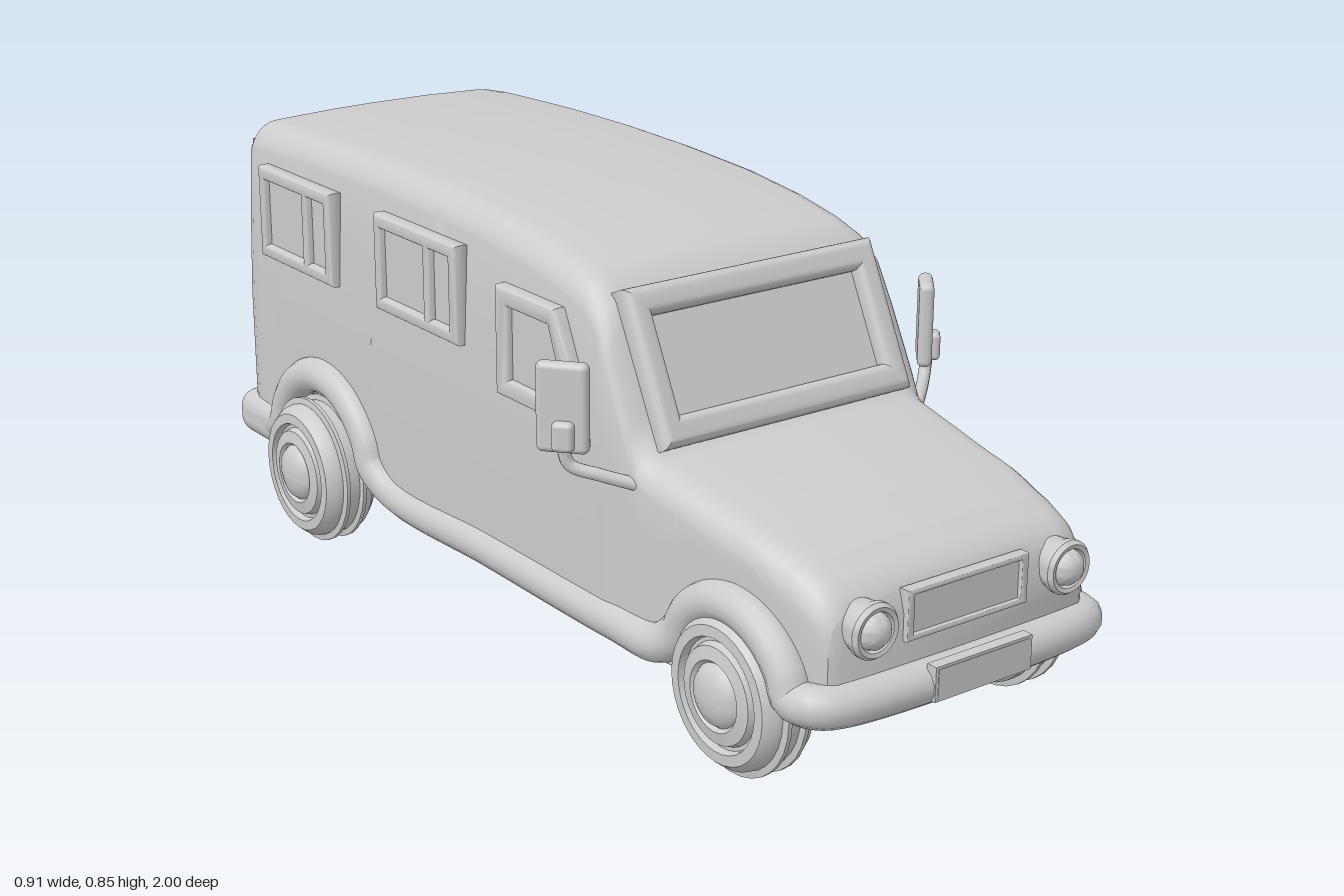
import * as THREE from 'three';
import { toCreasedNormals } from 'three/addons/utils/BufferGeometryUtils.js';
import { RoundedBoxGeometry } from 'three/addons/geometries/RoundedBoxGeometry.js';

const grey = new THREE.MeshStandardMaterial({ color: 0xcccccc, side: THREE.DoubleSide });
const FRONT = { z: 0.725, y: 0.15, r: 0.16 };   // front wheel arch
const REAR = { z: -0.61, y: 0.155, r: 0.192 };  // rear wheel arch

function add(parent, name, geometry, x = 0, y = 0, z = 0) {
  const mesh = new THREE.Mesh(geometry, grey);
  mesh.name = name;
  mesh.position.set(x, y, z);
  parent.add(mesh);
  return mesh;
}

// Linear interpolation through [position, value] keys sorted by position
function lerpKeys(keys, p) {
  if (p <= keys[0][0]) return keys[0][1];
  for (let i = 1; i < keys.length; i++) {
    const [a, va] = keys[i - 1], [b, vb] = keys[i];
    if (p <= b) return va + (vb - va) * (p - a) / (b - a);
  }
  return keys[keys.length - 1][1];
}

const TOP = [[-0.957, 0.795], [-0.95, 0.815], [-0.93, 0.828], [-0.85, 0.835], [-0.6, 0.844], [-0.4, 0.846],
  [-0.2, 0.842], [0, 0.832], [0.15, 0.815], [0.25, 0.796], [0.31, 0.777], [0.345, 0.748], [0.467, 0.508],
  [0.49, 0.495], [0.6, 0.475], [0.75, 0.447], [0.85, 0.42], [0.9, 0.397], [0.933, 0.368], [0.945, 0.33]];
const WIDTH = [[-0.957, 0.31], [-0.945, 0.327], [-0.92, 0.335], [-0.8, 0.34], [0.38, 0.34], [0.5, 0.33],
  [0.9, 0.3], [0.935, 0.29], [0.945, 0.275]];

function bottomAt(z) {
  let y = z > 0.88 ? 0.17 : 0.125;
  for (const a of [FRONT, REAR]) {
    const d = Math.abs(z - a.z);
    if (d < a.r) y = Math.max(y, a.y + Math.sqrt(a.r * a.r - d * d));
  }
  return y;
}

// Half cross-section from bottom centre to top centre, mirrored to a full ring
function bodySection(z) {
  const t = lerpKeys(TOP, z), b = bottomAt(z), w = lerpKeys(WIDTH, z);
  const r = Math.min(0.06, (t - b) * 0.4), half = [[0, b], [w - 0.02, b], [w, b + 0.015]];
  for (let k = 1; k <= 4; k++) half.push([w, b + 0.015 + (t - r - b - 0.015) * k / 4]);
  for (let k = 1; k <= 6; k++) {
    const a = k / 6 * Math.PI / 2;
    half.push([w - r + r * Math.cos(a), t - r + r * Math.sin(a) - 0.006]);
  }
  half.push([w * 0.4, t - 0.001], [0, t]);
  const right = half.map(([x, y]) => [x - 0.018 * Math.max(0, (y - 0.5) / 0.33), y]);
  const left = right.slice(1, -1).reverse().map(([x, y]) => [-x, y]);
  return [...right, ...left].map(([x, y]) => [x, y, z]);
}

function bodyGeometry() {
  const zs = [...TOP, ...WIDTH].map(k => k[0]);
  for (let i = 1; i < 60; i++) zs.push(-0.957 + 1.902 * i / 60);
  for (const a of [FRONT, REAR]) {
    for (let i = 0; i <= 24; i++) zs.push(a.z - a.r * Math.cos(i / 24 * Math.PI));
    zs.push(a.z - a.r - 0.001, a.z + a.r + 0.001);
  }
  zs.sort((a, b) => a - b);
  const rings = zs.filter((z, i) => i === 0 || z - zs[i - 1] > 0.0005).map(bodySection);
  // Close both ends on a centre point
  const cap = ring => {
    const cy = (ring[0][1] + Math.max(...ring.map(p => p[1]))) / 2;
    return ring.map(p => [0, cy, p[2]]);
  };
  rings.unshift(cap(rings[0]));
  rings.push(cap(rings[rings.length - 1]));
  const n = rings[0].length, index = [];
  for (let i = 0; i < rings.length - 1; i++) {
    for (let j = 0; j < n; j++) {
      const k = (j + 1) % n, a = i * n + j, b = i * n + k, c = b + n, d = a + n;
      index.push(a, b, c, a, c, d);
    }
  }
  const g = new THREE.BufferGeometry();
  g.setAttribute('position', new THREE.Float32BufferAttribute(rings.flat(2), 3));
  g.setIndex(index);
  return toCreasedNormals(g, 0.65);
}

// Rounded bar running round the bumpers, fenders and sills
function trimGeometry() {
  const side = [[0.26, 0.2, 0.947], [0.305, 0.2, 0.925]];
  const arch = (a, x, from, to) => {
    for (let i = 0; i <= 10; i++) {
      const t = THREE.MathUtils.degToRad(from + (to - from) * i / 10);
      side.push([x, a.y + a.r * Math.sin(t), a.z + a.r * Math.cos(t)]);
    }
  };
  arch(FRONT, 0.313, 18, 158);
  side.push([0.322, 0.172, 0.53], [0.325, 0.167, 0.4], [0.325, 0.167, 0], [0.325, 0.167, -0.36]);
  arch(REAR, 0.335, 16, 166);
  side.push([0.318, 0.17, -0.86], [0.3, 0.17, -0.93]);
  const pts = [...side, ...side.slice().reverse().map(([x, y, z]) => [-x, y, z])];
  const curve = new THREE.CatmullRomCurve3(pts.map(p => new THREE.Vector3(...p)), true);
  return new THREE.TubeGeometry(curve, 420, 0.038, 14, true);
}

const rect = (x0, x1, y0, y1) => [[x0, y0], [x1, y0], [x1, y1], [x0, y1]];
const toPath = pts => pts.map(p => new THREE.Vector2(...p));

// Bevelled frame with openings and a pane behind them
function windowFrame(name, outer, holes, depth, bevel, paneZ) {
  const group = new THREE.Group();
  group.name = name;
  const shape = new THREE.Shape(toPath(outer));
  holes.forEach(h => shape.holes.push(new THREE.Path(toPath(h))));
  const frame = new THREE.ExtrudeGeometry(shape, { depth, bevelEnabled: true, bevelSize: bevel, bevelThickness: bevel, bevelOffset: -bevel, bevelSegments: 4 });
  add(group, 'frame', toCreasedNormals(frame, 0.6));
  add(group, 'pane', new THREE.ShapeGeometry(new THREE.Shape(toPath(outer))), 0, 0, paneZ).scale.set(1, 1, 1);
  return group;
}

function wheel(name, side, x, a) {
  const g = new THREE.Group();
  g.name = name;
  // Tyre with thin tread ribs, rim and domed hub: [radius, distance outwards]
  const profile = [[0, 0.02], [0.09, 0.02], [0.1, 0], [0.122, 0], [0.14, 0.018], [0.14, 0.036], [0.153, 0.038], [0.153, 0.046],
    [0.141, 0.048], [0.141, 0.074], [0.153, 0.076], [0.153, 0.084], [0.14, 0.086], [0.138, 0.1], [0.124, 0.117], [0.104, 0.118],
    [0.1, 0.104], [0.093, 0.104], [0.088, 0.118], [0.064, 0.123], [0.058, 0.116], [0.05, 0.127], [0.03, 0.135], [0, 0.138]];
  const tyre = add(g, 'tyreAndHub', toCreasedNormals(new THREE.LatheGeometry(toPath(profile), 32), 0.6));
  tyre.rotation.z = -side * Math.PI / 2;
  g.position.set(side * x, 0.154, a.z);
  return g;
}

function mirror(side) {
  const g = new THREE.Group();
  g.name = side > 0 ? 'leftMirror' : 'rightMirror';
  const arm = [[0.325, 0.445, 0.46], [0.375, 0.462, 0.42], [0.415, 0.48, 0.385], [0.425, 0.53, 0.38]];
  const curve = new THREE.CatmullRomCurve3(arm.map(([x, y, z]) => new THREE.Vector3(side * x, y, z)));
  add(g, 'mirrorArm', new THREE.TubeGeometry(curve, 20, 0.012, 10));
  add(g, 'mirrorHousing', new RoundedBoxGeometry(0.095, 0.165, 0.028, 3, 0.012), side * 0.42, 0.583, 0.375).rotation.y = side * 0.87;
  add(g, 'mirrorBracket', new RoundedBoxGeometry(0.04, 0.055, 0.04, 3, 0.01), side * 0.425, 0.535, 0.385).rotation.y = side * 0.87;
  return g;
}

export function createModel() {
  const model = new THREE.Group();
  model.name = 'van';
  add(model, 'body', bodyGeometry());
  add(model, 'fenderAndSillTrim', trimGeometry());
  add(model, 'rearBumper', new RoundedBoxGeometry(0.71, 0.1, 0.19, 5, 0.04), 0, 0.17, -0.905);

  // Windscreen and rear window
  const screen = windowFrame('windscreen', rect(-0.285, 0.285, -0.145, 0.145), [rect(-0.235, 0.235, -0.09, 0.09)], 0.03, 0.018, 0.02);
  screen.position.set(0, 0.62, 0.391);
  screen.rotation.x = -0.46;
  const back = windowFrame('rearWindow', rect(-0.295, 0.295, -0.125, 0.125), [rect(-0.255, 0.255, -0.085, 0.085)], 0.015, 0.012, 0.009);
  back.position.set(0, 0.655, -0.95);
  back.rotation.y = Math.PI;
  model.add(screen, back);

  // Side windows, in (z, y)
  const sideWindows = [
    ['doorWindow', [[0.06, 0.505], [0.335, 0.505], [0.325, 0.58], [0.25, 0.715], [0.06, 0.715]],
      [[[0.1, 0.54], [0.285, 0.54], [0.23, 0.68], [0.1, 0.68]]]],
    ['middleWindow', rect(-0.37, -0.07, 0.56, 0.755), [rect(-0.165, -0.1, 0.588, 0.727), rect(-0.345, -0.19, 0.588, 0.727)]],
    ['backWindow', rect(-0.84, -0.54, 0.56, 0.755), [rect(-0.635, -0.57, 0.588, 0.727), rect(-0.815, -0.66, 0.588, 0.727)]],
  ];
  for (const side of [1, -1]) {
    const flip = pts => pts.map(([z, y]) => [-side * z, y]);
    for (const [name, outer, holes] of sideWindows) {
      const w = windowFrame(name, flip(outer), holes.map(flip), 0.016, 0.009, 0.011);
      w.position.x = side * 0.33;
      w.rotation.y = side * Math.PI / 2;
      model.add(w);
    }
    model.add(mirror(side), wheel('frontWheel', side, 0.237, FRONT), wheel('rearWheel', side, 0.3, REAR));

    // Headlamp with raised rim and domed lens
    const lamp = [[0.04, -0.05], [0.046, 0.01], [0.05, 0.02], [0.05, 0.03], [0.044, 0.038], [0.036, 0.036], [0.033, 0.028],
      [0.03, 0.038], [0.018, 0.05], [0, 0.054]];
    add(model, 'headlamp', toCreasedNormals(new THREE.LatheGeometry(toPath(lamp), 32), 0.6), side * 0.22, 0.327, 0.938).rotation.x = Math.PI / 2;
  }

  // Grille and front plate
  const grille = windowFrame('grille', rect(-0.137, 0.137, -0.046, 0.046), [rect(-0.122, 0.122, -0.036, 0.036)], 0.018, 0.003, 0.012);
  grille.position.set(0, 0.325, 0.935);
  model.add(grille);
  add(model, 'frontPlate', new THREE.BoxGeometry(0.22, 0.064, 0.022), 0, 0.211, 0.988);
  add(model, 'plateFace', new THREE.BoxGeometry(0.208, 0.054, 0.004), 0, 0.211, 0.998);

  // Axles with thicker housings
  for (const [a, half] of [[FRONT, 0.25], [REAR, 0.32]]) {
    add(model, 'axle', new THREE.CylinderGeometry(0.022, 0.022, half * 2, 16), 0, 0.154, a.z).rotation.z = Math.PI / 2;
    add(model, 'axleHousing', new THREE.CylinderGeometry(0.042, 0.042, half * 1.3, 20), 0, 0.156, a.z).rotation.z = Math.PI / 2;
  }
  return model;
}
